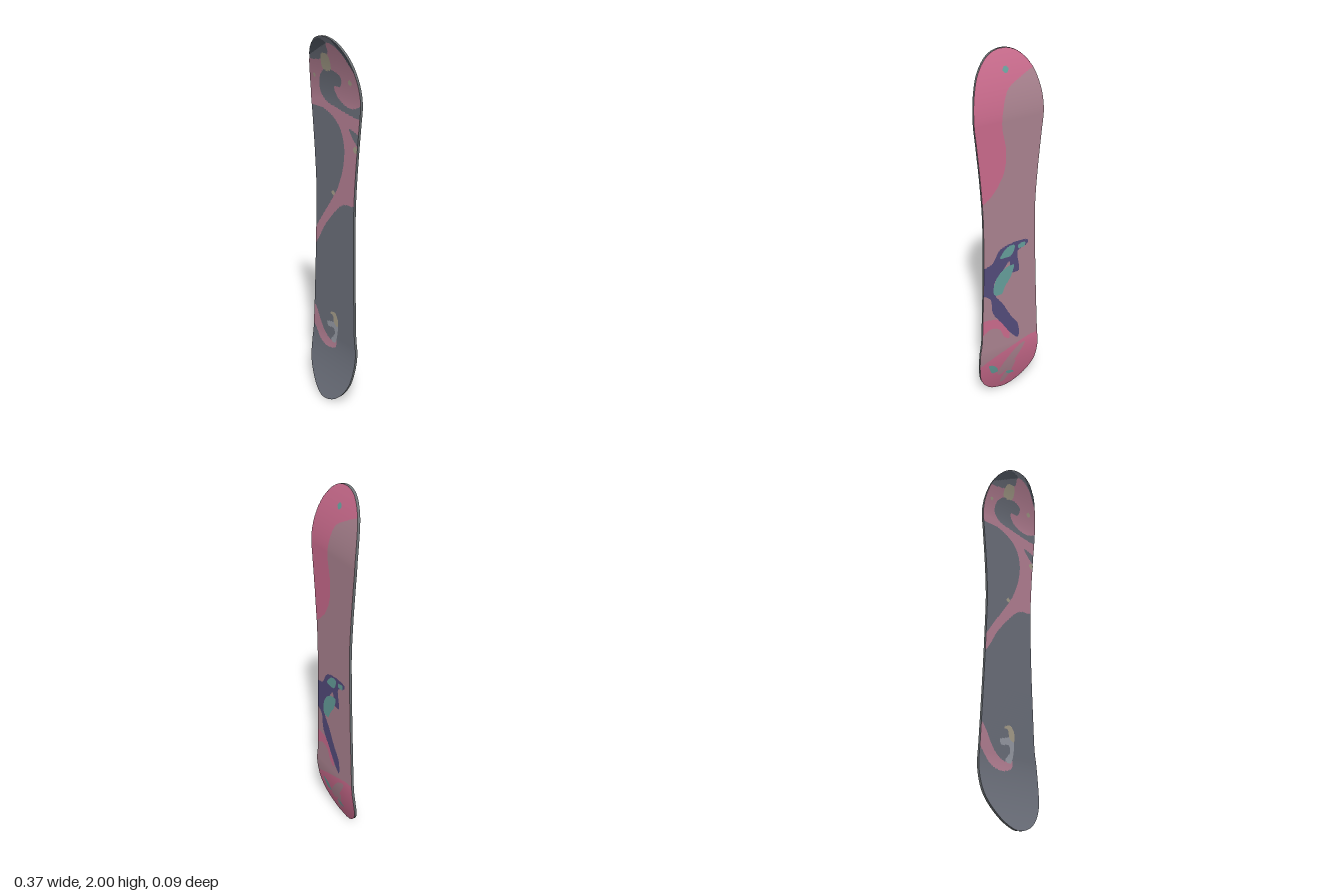
import * as THREE from 'three';

const THICK = 0.014;
const mat = (name, color) => Object.assign(new THREE.MeshStandardMaterial({ color }), { name });

// closed smooth outline through a few [x, y] points
function outline(pts, samples = 300) {
  const c = new THREE.CatmullRomCurve3(pts.map(([x, y]) => new THREE.Vector3(x, y, 0)), true);
  return c.getPoints(samples);
}

const dot = (x, y, r) => [[x + r, y], [x, y + r], [x - r, y], [x, y - r]];

// sorted x positions where a horizontal line crosses an outline
function crossings(poly, y) {
  const xs = [];
  for (let i = 0; i + 1 < poly.length; i++) {
    const a = poly[i], b = poly[i + 1];
    if ((a.y > y) !== (b.y > y)) xs.push(a.x + (b.x - a.x) * (y - a.y) / (b.y - a.y));
  }
  return xs.sort((p, q) => p - q);
}

// board silhouette
const BOARD = outline([
  [0, 2], [0.075, 1.98], [0.14, 1.91], [0.175, 1.81], [0.186, 1.7], [0.176, 1.58], [0.16, 1.4],
  [0.148, 1.2], [0.147, 1], [0.151, 0.8], [0.158, 0.6], [0.166, 0.42], [0.177, 0.34], [0.176, 0.24],
  [0.16, 0.14], [0.12, 0.065], [0.065, 0.018], [-0.01, 0], [-0.07, 0.025], [-0.13, 0.085],
  [-0.172, 0.16], [-0.187, 0.26], [-0.179, 0.4], [-0.169, 0.6], [-0.16, 0.8], [-0.153, 1],
  [-0.149, 1.2], [-0.16, 1.4], [-0.176, 1.58], [-0.186, 1.7], [-0.175, 1.81], [-0.14, 1.91], [-0.075, 1.98],
], 900);

// depth of the back surface: flat with both ends curling forward
function bend(y) {
  const t = Math.max((y - 1.68) / 0.32, (0.36 - y) / 0.36, 0);
  return -0.045 + 0.075 * Math.pow(t, 1.7);
}

// smooth band between two polylines
function band(a, b) {
  const pos = [], index = [];
  a.forEach((p, i) => {
    pos.push(...p, ...b[i]);
    if (i) {
      const k = 2 * i - 2;
      index.push(k, k + 1, k + 3, k, k + 3, k + 2);
    }
  });
  const g = new THREE.BufferGeometry();
  g.setAttribute('position', new THREE.Float32BufferAttribute(pos, 3));
  g.setIndex(index);
  g.computeVertexNormals();
  return g;
}

// thin painted shape that follows the bend and is trimmed to the board
function paint(shapes, front, layer) {
  const pos = [], step = 0.005, lift = 0.0008 * layer;
  const depth = y => front ? bend(y) + THICK + lift : bend(y) - lift;
  for (const shape of shapes) {
    const poly = outline(shape);
    for (let y = 0; y < 2 - 1e-6; y += step) {
      const edge = crossings(BOARD, y + step / 2), xs = crossings(poly, y + step / 2);
      if (edge.length < 2) continue;
      for (let i = 0; i + 1 < xs.length; i += 2) {
        let l = Math.max(xs[i], edge[0]), r = Math.min(xs[i + 1], edge[edge.length - 1]);
        if (r <= l) continue;
        if (!front) [l, r] = [r, l];
        const z0 = depth(y), z1 = depth(y + step), y1 = y + step;
        pos.push(l, y, z0, r, y, z0, r, y1, z1, l, y, z0, r, y1, z1, l, y1, z1);
      }
    }
  }
  const g = new THREE.BufferGeometry();
  g.setAttribute('position', new THREE.Float32BufferAttribute(pos, 3));
  g.computeVertexNormals();
  return g;
}

// front artwork
const SWIRL = [
  [-0.24, 1.86], [-0.14, 1.87], [-0.07, 1.88], [0, 1.92], [0.005, 1.965], [0.05, 1.965], [0.125, 1.91],
  [0.22, 1.79], [0.19, 1.7], [0.125, 1.67], [0.065, 1.68], [0.02, 1.71], [0, 1.755], [0.05, 1.765],
  [0.06, 1.81], [0.01, 1.835], [-0.05, 1.835], [-0.1, 1.79], [-0.11, 1.72], [-0.07, 1.675], [0.01, 1.655],
  [0.115, 1.635], [0.22, 1.615], [0.22, 1.545], [0.105, 1.57], [0.13, 1.53], [0.2, 1.45], [0.2, 1.2],
  [0.065, 1.165], [-0.015, 1.09], [-0.085, 1], [-0.13, 0.92], [-0.17, 0.87], [-0.165, 0.95],
  [-0.105, 1.05], [-0.03, 1.16], [0.025, 1.25], [0.065, 1.37], [0.07, 1.475], [0.04, 1.555],
  [-0.015, 1.605], [-0.095, 1.635], [-0.22, 1.645],
];
const CURL = [
  [-0.2, 0.52], [-0.16, 0.495], [-0.115, 0.415], [-0.075, 0.36], [-0.02, 0.335], [0.01, 0.37],
  [0.015, 0.31], [-0.05, 0.285], [-0.115, 0.305], [-0.16, 0.36], [-0.2, 0.42],
];
const CURL_TIP = [
  [-0.06, 0.44], [0, 0.465], [-0.01, 0.505], [0.025, 0.47], [0.027, 0.39], [0.005, 0.33],
  [-0.025, 0.34], [0.005, 0.39], [-0.005, 0.42], [-0.05, 0.415],
];
const HIGHLIGHTS = [
  [[-0.035, 0.505], [0.005, 0.52], [0.03, 0.485], [0.027, 0.44], [0, 0.455], [-0.01, 0.495]],
  [[-0.05, 1.91], [-0.005, 1.91], [-0.005, 1.835], [-0.065, 1.835]],
  dot(0.125, 1.795, 0.014), dot(-0.14, 1.79, 0.01), dot(-0.01, 1.21, 0.013), dot(0.155, 1.475, 0.018),
];
const TIP_SHADES = [
  [[-0.16, 1.89], [-0.11, 1.95], [-0.04, 1.985], [0.005, 1.97], [-0.05, 1.94]],
  [[0.05, 1.99], [0.13, 1.94], [0.165, 1.85], [0.11, 1.925]],
];

// back artwork
const UPPER_WAVE = [
  [-0.145, 1.9], [-0.08, 1.87], [0, 1.82], [0.035, 1.72], [0.04, 1.65], [0.02, 1.53], [0.03, 1.42],
  [0.085, 1.32], [0.165, 1.26], [0.25, 1.26], [0.25, 2.05], [-0.25, 2.05], [-0.25, 1.93],
];
const LOWER_WAVE = [
  [0.2, 0.24], [0.1, 0.29], [-0.05, 0.35], [-0.15, 0.38], [-0.25, 0.37], [-0.25, -0.1], [0.25, -0.1], [0.25, 0.22],
];
const RING = [
  [0.19, 0.55], [0.1, 0.56], [0.03, 0.52], [0, 0.45], [0, 0.4], [0.03, 0.42], [0.06, 0.48], [0.11, 0.5], [0.19, 0.46],
];
const STREAKS = [
  [[-0.1, 0.34], [-0.04, 0.31], [0.06, 0.15], [0.035, 0.13]],
  [[-0.05, 0.22], [-0.03, 0.21], [0.03, 0.06], [0.01, 0.05]],
];
const CREST = [
  [0.19, 0.88], [0.1, 0.915], [0.055, 0.985], [-0.05, 1.01], [-0.11, 1], [-0.1, 0.975], [-0.05, 0.95],
  [-0.055, 0.83], [-0.01, 0.83], [0, 0.9], [0.04, 0.855], [0.09, 0.79], [0.085, 0.715], [0.04, 0.645],
  [-0.01, 0.55], [-0.055, 0.475], [-0.055, 0.39], [-0.02, 0.42], [0.04, 0.51], [0.1, 0.605], [0.115, 0.7], [0.19, 0.755],
];
const TEAL_PATCHES = [
  [[0.09, 0.72], [0.085, 0.8], [0.035, 0.86], [-0.025, 0.875], [-0.01, 0.81], [0.025, 0.755], [0.05, 0.71]],
  [[0.055, 0.935], [0.01, 0.99], [-0.03, 0.99], [-0.01, 0.935]],
  [[-0.05, 0.985], [-0.09, 0.995], [-0.09, 0.97], [-0.055, 0.965]],
  [[0.12, 0.24], [0.08, 0.22], [0.06, 0.17], [0.09, 0.165]],
  [[0, 0.14], [-0.04, 0.13], [-0.05, 0.11], [-0.01, 0.115]],
  dot(0, 1.91, 0.016),
];

export function createModel() {
  const group = new THREE.Group();
  group.name = 'snowboard';
  const slate = mat('slate', 0x6c707b), pink = mat('dusty pink', 0xb58094), dark = mat('dark slate', 0x4c525c);
  const cream = mat('cream', 0xa8a08c), silver = mat('silver', 0x989ca6), grey = mat('edge grey', 0x6e7376);
  const mauve = mat('mauve', 0xac8491), rose = mat('rose', 0xcc6c8e);
  const navy = mat('navy', 0x544c7c), teal = mat('teal', 0x66a09c);
  const add = (name, geometry, material) => {
    const m = new THREE.Mesh(geometry, material);
    m.name = name;
    group.add(m);
  };

  // board body: rows are packed closer toward both rounded ends
  const fl = [], fr = [], bl = [], br = [], N = 240;
  for (let i = 0; i <= N; i++) {
    const y = 1 - Math.cos(Math.PI * i / N), z = bend(y);
    const xs = crossings(BOARD, y), end = y < 1 ? -0.01 : 0;
    const x0 = xs.length ? xs[0] : end, x1 = xs.length ? xs[xs.length - 1] : end;
    fl.push([x0, y, z + THICK]);
    fr.push([x1, y, z + THICK]);
    bl.push([x0, y, z]);
    br.push([x1, y, z]);
  }
  add('frontFace', band(fl, fr), slate);
  add('backFace', band(br, bl), mauve);
  add('leftEdge', band(fr, br), grey);
  add('rightEdge', band(bl, fl), grey);

  // painted front
  add('frontSwirl', paint([SWIRL, CURL], true, 1), pink);
  add('tipShades', paint(TIP_SHADES, true, 2), dark);
  add('curlTip', paint([CURL_TIP], true, 2), silver);
  add('frontHighlights', paint(HIGHLIGHTS, true, 3), cream);

  // painted back
  add('backWaves', paint([UPPER_WAVE, LOWER_WAVE, RING], false, 1), rose);
  add('tailStreaks', paint(STREAKS, false, 2), mauve);
  add('backCrest', paint([CREST], false, 2), navy);
  add('backPatches', paint(TEAL_PATCHES, false, 3), teal);
  return group;
}
